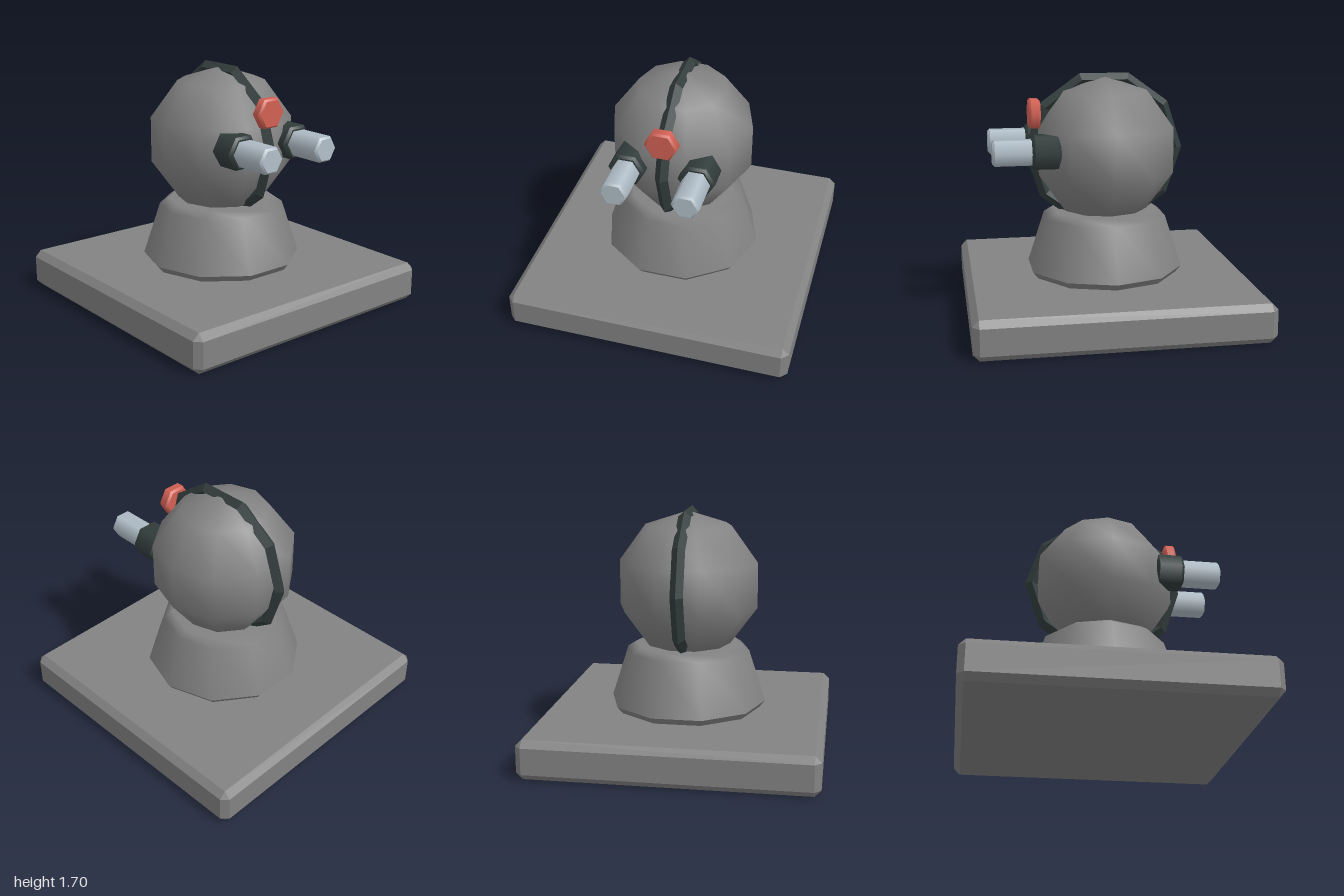
import * as THREE from 'three';
import { ConvexGeometry } from 'three/addons/geometries/ConvexGeometry.js';

function material(name, color) {
  const m = new THREE.MeshStandardMaterial({ color });
  m.name = name;
  return m;
}

// Box with every edge cut at 45 degrees, standing on y = 0
function chamferedBox(w, h, d, c) {
  const points = [];
  for (const x of [-1, 1]) for (const y of [-1, 1]) for (const z of [-1, 1]) {
    const p = [x * w / 2, y * h / 2, z * d / 2];
    const s = [x * c, y * c, z * c];
    for (let axis = 0; axis < 3; axis++) {
      const q = p.map((v, i) => (i === axis ? v : v - s[i]));
      points.push(new THREE.Vector3(q[0], q[1] + h / 2, q[2]));
    }
  }
  return new ConvexGeometry(points);
}

// Lathed solid with a corner on +x; repeated profile points make sharp edges
function turned(profile, sides) {
  const points = profile.map(([r, y]) => new THREE.Vector2(r, y));
  return new THREE.LatheGeometry(points, sides, Math.PI / 2);
}

// Hexagonal rod along z with chamfered ends
function hexRod(radius, back, front, c) {
  const inner = radius - c;
  return turned([
    [0, back], [inner, back], [inner, back],
    [radius, back + c], [radius, back + c],
    [radius, front - c], [radius, front - c],
    [inner, front], [inner, front], [0, front],
  ], 6).rotateX(Math.PI / 2);
}

export function createModel() {
  const grey = material('stone grey', 0x828282);
  const dark = material('dark slate', 0x323d3c);
  const pale = material('pale steel', 0xb2bfc9);
  const red = material('signal red', 0xd26154);

  const model = new THREE.Group();
  model.name = 'sentryHead';
  const add = (name, geometry, mat, x = 0, y = 0, z = 0) => {
    const mesh = new THREE.Mesh(geometry, mat);
    mesh.name = name;
    mesh.position.set(x, y, z);
    model.add(mesh);
  };

  // Base slab and tapered neck
  add('base', chamferedBox(2, 0.273, 2, 0.045), grey);
  add('pedestal', turned([
    [0, 0.27], [0.52, 0.27], [0.52, 0.27], [0.56, 0.32], [0.56, 0.32],
    [0.44, 0.69], [0.375, 0.732], [0, 0.732],
  ], 10), grey);

  // Faceted ball head with a ridged band from front to back
  add('head', new THREE.SphereGeometry(0.52, 10, 5), grey, 0, 1.16, 0);
  const band = new THREE.TorusGeometry(0.52, 0.045, 4, 10).rotateY(Math.PI / 2).toNonIndexed();
  band.computeVertexNormals();
  add('headBand', band, dark, 0, 1.16, 0);

  // Eye barrels in hexagonal collars
  for (const [side, x] of [['left', 0.24], ['right', -0.24]]) {
    add(side + 'EyeCollar', hexRod(0.128, 0.345, 0.54, 0.018), dark, x, 1.195);
    add(side + 'EyeBarrel', hexRod(0.097, 0.4, 0.807, 0.015), pale, x, 1.195);
  }

  // Forehead button
  add('foreheadButton', hexRod(0.114, 0.455, 0.536, 0.015), red, 0, 1.426);

  return model;
}
